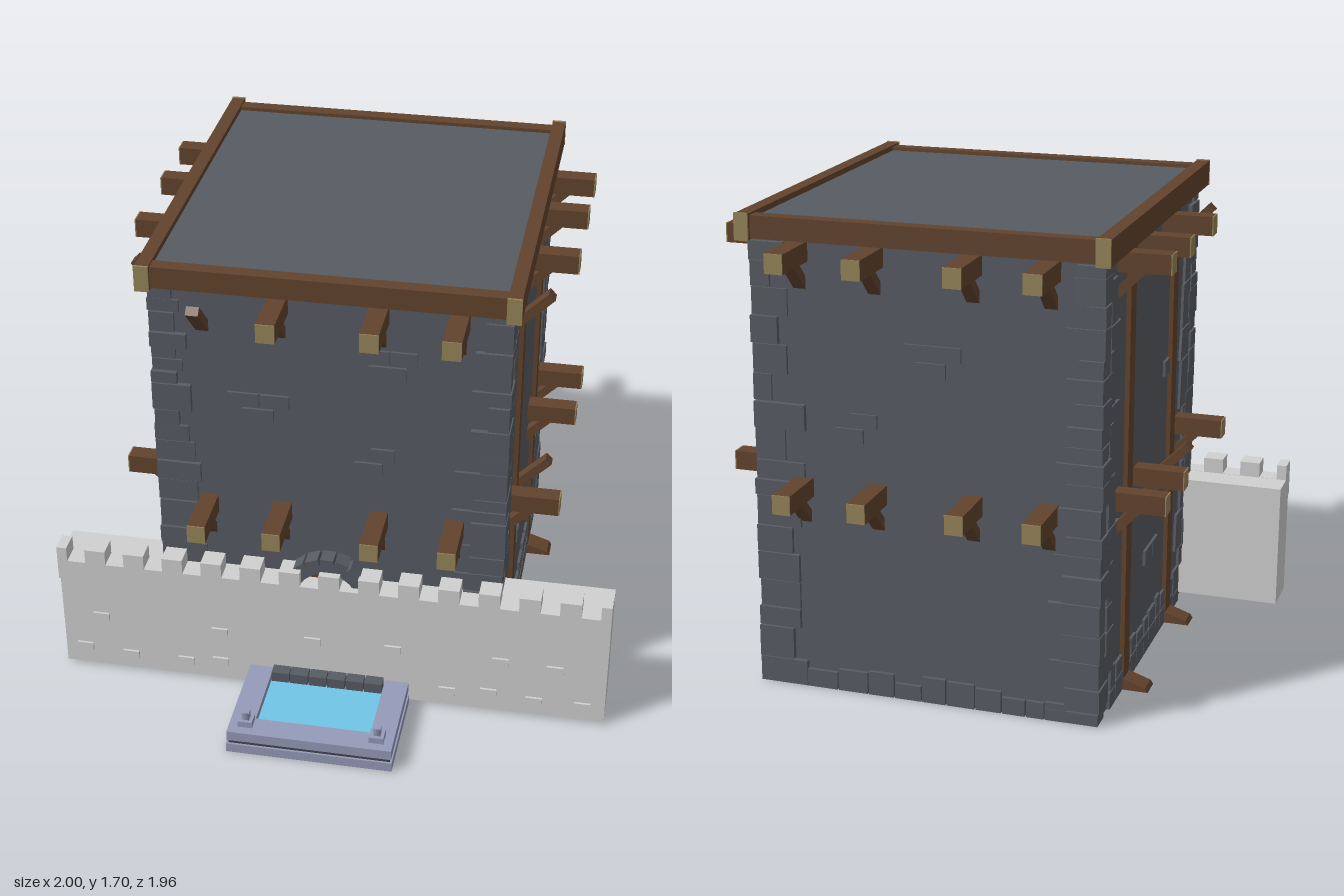
import * as THREE from 'three';

const mat = (name, color) => Object.assign(new THREE.MeshStandardMaterial({ color }), { name });

export function createModel() {
  const slate = mat('slate stone', 0x575b62);
  slate.side = THREE.DoubleSide; // the tower is an open shell
  const paleStone = mat('pale stone', 0xd0d0d0);
  const wood = mat('brown wood', 0x62432d);
  const endGrain = mat('end grain', 0x958459);
  const lilac = mat('lilac stone', 0x959ab9);
  const darkTrim = mat('dark trim', 0x43464f);
  const water = mat('water', 0x72c6e8);

  const model = new THREE.Group();
  model.name = 'tower with curtain wall';

  const section = (name, parent = model) => {
    const g = new THREE.Group();
    g.name = name;
    parent.add(g);
    return g;
  };
  const addMesh = (parent, name, material, geometry) => {
    const m = new THREE.Mesh(geometry, material);
    m.name = name;
    parent.add(m);
    return m;
  };
  // box given by its extents on each axis
  const box = (parent, name, material, x0, x1, y0, y1, z0, z1) => {
    const m = addMesh(parent, name, material, new THREE.BoxGeometry(x1 - x0, y1 - y0, z1 - z0));
    m.position.set((x0 + x1) / 2, (y0 + y1) / 2, (z0 + z1) / 2);
    return m;
  };
  let seed = 7;
  const rand = (a, b) => {
    seed = (seed * 16807) % 2147483647;
    return a + (b - a) * (seed / 2147483647);
  };

  // Tower, built around its own centre axis
  const HX = 0.605, HZ = 0.65;
  const tower = section('tower');
  tower.position.set(-0.009, 0, -0.125);

  // hollow shell, open underneath
  const shell = new THREE.BoxGeometry(HX * 2, 1.66, HZ * 2);
  const faces = Array.from(shell.index.array);
  faces.splice(18, 6);
  shell.setIndex(faces);
  shell.clearGroups();
  addMesh(tower, 'towerWalls', slate, shell).position.y = 0.83;
  box(tower, 'roof', slate, -0.61, 0.61, 1.655, 1.675, -0.66, 0.66);

  // irregular corner stones, with a second column of taller stones on the sides
  const quoins = section('cornerStones', tower);
  for (const sx of [-1, 1]) for (const sz of [-1, 1]) {
    for (let y = 0, i = 0; y < 1.6; i++) {
      const h = Math.min(rand(0.045, 0.12), 1.6 - y);
      const low = y < 0.95 ? 0.05 : 0;
      const lx = (i % 2 ? rand(0.06, 0.1) : rand(0.1, 0.14)) + low;
      const lz = rand(0.06, 0.13);
      const ox = HX + rand(0.008, 0.016), oz = HZ + rand(0.008, 0.02);
      const stone = box(quoins, 'cornerStone', slate, -lx / 2, lx / 2, y + 0.002, y + h - 0.002, -lz / 2, lz / 2);
      stone.position.x = sx * (ox - lx / 2);
      stone.position.z = sz * (oz - lz / 2);
      y += h;
    }
    for (let y = 0.14; y < 1.5;) {
      const h = rand(0.06, 0.2);
      const inner = HZ - rand(0.14, y < 0.7 ? 0.27 : 0.22), outer = HZ - 0.085;
      const tall = new THREE.Shape([[inner, y], [outer, y], [outer, y + h - 0.006], [inner + rand(0, 0.02), y + h - 0.006]]
        .map(([z, v]) => new THREE.Vector2(-z * sz, v)));
      const stone = new THREE.ExtrudeGeometry(tall, { depth: 0.02, bevelEnabled: false });
      stone.translate(0, 0, -0.01).rotateY(Math.PI / 2).translate(sx * HX, 0, 0);
      addMesh(quoins, 'tallStone', slate, stone);
      y += h;
    }
  }

  // base course along every wall
  const base = section('baseCourse', tower);
  for (const s of [-1, 1]) {
    for (let x = -0.5; x < 0.48;) {
      const w = rand(0.06, 0.12);
      box(base, 'baseStone', slate, x, x + w - 0.005, 0, rand(0.05, 0.1), s * HZ - 0.014, s * HZ + 0.014);
      x += w;
    }
    for (let z = -0.52; z < 0.48;) {
      const w = rand(0.07, 0.13);
      const top = rand(0.05, 0.08);
      box(base, 'baseStone', slate, s * HX - 0.013, s * HX + 0.013, 0, top, z, z + w - 0.005);
      box(base, 'baseStone', slate, s * HX - 0.01, s * HX + 0.01, top, rand(0.11, 0.15), z + 0.02, z + w);
      z += w;
    }
  }

  // scattered raised bricks: centre, height, width
  const bricks = section('wallBricks', tower);
  const frontBricks = [[-0.3, 1.19, 0.11], [-0.19, 1.19, 0.1], [-0.25, 1.13, 0.11], [0.16, 1.405, 0.09],
    [0.255, 1.405, 0.09], [0.2, 1.345, 0.13], [0.185, 1.015, 0.08], [0.135, 0.955, 0.1]];
  const backBricks = [[0.02, 1.26, 0.1], [-0.08, 1.26, 0.1], [-0.02, 1.2, 0.11], [0.22, 1, 0.1], [0.27, 0.945, 0.1]];
  const sideBricks = [[0.225, 1.41, 0.11], [0.235, 1.02, 0.07], [0.105, 0.375, 0.08], [0.01, 0.375, 0.1]];
  for (const [s, list] of [[1, frontBricks], [-1, backBricks]]) {
    for (const [x, y, w] of list)
      box(bricks, 'brick', slate, x - w / 2, x + w / 2, y - 0.025, y + 0.025, s * HZ - 0.01, s * HZ + 0.01);
    for (const [z, y, w] of sideBricks)
      box(bricks, 'brick', slate, s * HX - 0.01, s * HX + 0.01, y - 0.028, y + 0.028, z - w / 2, z + w / 2);
  }

  // timber frame around the roof
  const frame = section('roofFrame', tower);
  for (const s of [-1, 1]) {
    const x = s * 0.62;
    box(frame, 'roofBeamSide', wood, x - 0.024, x + 0.024, 1.605, 1.695, -0.702, 0.702);
    for (const e of [-1, 1])
      box(frame, 'roofBeamEnd', endGrain, x - 0.025, x + 0.025, 1.604, 1.698, e * 0.705 - 0.004, e * 0.705 + 0.004);
    const z = s * 0.663;
    box(frame, 'roofBeamCross', wood, -0.6, 0.6, 1.61, 1.688, z - 0.025, z + 0.025);
  }

  // side posts with sloping feet
  const footShape = new THREE.Shape([[0, 0], [0.105, 0], [0.095, 0.015], [0.02, 0.04], [0, 0.04]].map(p => new THREE.Vector2(...p)));
  for (const s of [-1, 1]) for (const z of [0.31, -0.31]) {
    const post = section('sidePost', tower);
    post.position.set(s * HX, 0, z);
    post.rotation.y = s > 0 ? 0 : Math.PI;
    box(post, 'post', wood, -0.03, 0.016, 0, 1.61, -0.035, 0.035);
    const foot = new THREE.ExtrudeGeometry(footShape, { depth: 0.08, bevelEnabled: false });
    foot.translate(0, 0, -0.04);
    addMesh(post, 'postFoot', wood, foot);
  }

  // projecting joist (+z outward) on a diagonal brace
  const joist = (x, y, z, turn, reach, hasBeam) => {
    const g = section('joist', tower);
    g.position.set(x, y, z);
    g.rotation.y = turn;
    if (hasBeam) {
      box(g, 'joistBeam', wood, -0.032, 0.032, 0, 0.068, -0.04, reach - 0.004);
      box(g, 'joistEnd', endGrain, -0.032, 0.032, 0, 0.068, reach - 0.004, reach);
    }
    const brace = box(g, 'brace', wood, -0.022, 0.022, -0.016, 0.016, -0.105, 0.105);
    brace.position.set(0, -0.032, 0.04);
    brace.rotation.x = -Math.PI / 4;
  };
  for (const [level, y] of [0.71, 1.537].entries()) {
    [-0.435, -0.17, 0.172, 0.44].forEach((x, i) => {
      joist(x, y, HZ, 0, 0.207, !(level === 1 && i === 0));
      joist(x, y, -HZ, Math.PI, 0.207, true);
    });
    [0.435, 0.17, -0.175, -0.44].forEach((z, i) => {
      const present = !(level === 1 && i === 0) && !(level === 0 && i === 1);
      joist(HX, y, z, Math.PI / 2, 0.182, present);
      joist(-HX, y, z, -Math.PI / 2, 0.182, present);
    });
  }

  // arched gateway behind the curtain wall
  const gate = section('gateway');
  gate.position.set(-0.012, 0, 0);
  const R = 0.135, springY = 0.425;
  for (let i = 0; i < 9; i++) {
    const a = (i + 0.5) * Math.PI / 9;
    const stone = box(gate, 'archStone', slate, -0.029, 0.029, -0.024, 0.024, -0.03, 0.03);
    stone.position.set(R * Math.cos(a), springY + R * Math.sin(a), 0.56);
    stone.rotation.z = a;
  }
  for (const s of [-1, 1]) for (let i = 0; i < 6; i++) {
    box(gate, 'jambStone', slate, s * R - 0.028, s * R + 0.028, i * 0.07 + 0.005, i * 0.07 + 0.07, 0.53, 0.59);
  }
  const doorShape = new THREE.Shape();
  doorShape.moveTo(-0.11, 0.01);
  doorShape.lineTo(0.11, 0.01);
  doorShape.lineTo(0.11, springY);
  doorShape.absarc(0, springY, 0.11, 0, Math.PI);
  const door = new THREE.ExtrudeGeometry(doorShape, { depth: 0.03, bevelEnabled: false });
  addMesh(gate, 'door', wood, door).position.z = 0.52;

  // Curtain wall with battlements
  const wall = section('curtainWall');
  box(wall, 'wallBody', paleStone, -1, 1, 0.012, 0.48, 0.428, 0.6);
  box(wall, 'parapet', paleStone, -1, 1, 0.4, 0.481, 0.54, 0.617);
  const pitch = 0.143, notch = 0.068;
  for (let i = 0; i <= 14; i++) {
    const c = -1.001 + i * pitch, half = (pitch - notch) / 2;
    box(wall, 'merlon', paleStone, Math.max(-1, c - half), Math.min(1, c + half), 0.48, 0.537, 0.54, 0.617);
  }
  const wallBricks = [[-0.855, 0.235], [-0.41, 0.225], [-0.065, 0.23], [0.23, 0.235], [0.62, 0.235], [0.815, 0.225],
    [-0.925, 0.09], [-0.75, 0.075], [-0.54, 0.075], [-0.41, 0.09], [0.43, 0.075], [0.58, 0.09], [0.745, 0.075], [0.92, 0.075]];
  for (const [x, y] of wallBricks)
    box(wall, 'wallBrick', paleStone, x - 0.03, x + 0.03, y - 0.016, y + 0.016, 0.59, 0.609);

  // Pool in front of the wall
  const pool = section('pool');
  pool.position.x = -0.005;
  box(pool, 'poolFloor', lilac, -0.297, 0.297, 0, 0.036, 0.6, 0.982);
  box(pool, 'water', water, -0.212, 0.212, 0.036, 0.06, 0.6, 0.9);
  const rim = (name, material, y0, y1, inset) => {
    const o = 0.297 - inset, f = 0.982 - inset;
    for (const s of [-1, 1]) {
      const c = s * (o + 0.207) / 2, h = (o - 0.207) / 2;
      box(pool, name, material, c - h, c + h, y0, y1, 0.6, f);
    }
    box(pool, name, material, -0.207, 0.207, y0, y1, 0.892, f);
  };
  rim('rimGroove', darkTrim, 0.036, 0.05, 0.008);
  rim('rim', lilac, 0.05, 0.088, 0.003);
  for (let i = 0; i < 6; i++)
    box(pool, 'sillStone', slate, -0.205 + i * 0.0685, -0.14 + i * 0.0685, 0.04, 0.1, 0.6, 0.645);
  for (const s of [-1, 1]) {
    const x = s * 0.235;
    box(pool, 'pedestal', lilac, x - 0.026, x + 0.026, 0.085, 0.112, 0.894, 0.946);
    const finial = addMesh(pool, 'finial', lilac, new THREE.CylinderGeometry(0.019, 0.019, 0.032, 4, 1).rotateY(Math.PI / 4));
    finial.position.set(x, 0.126, 0.92);
  }

  return model;
}
